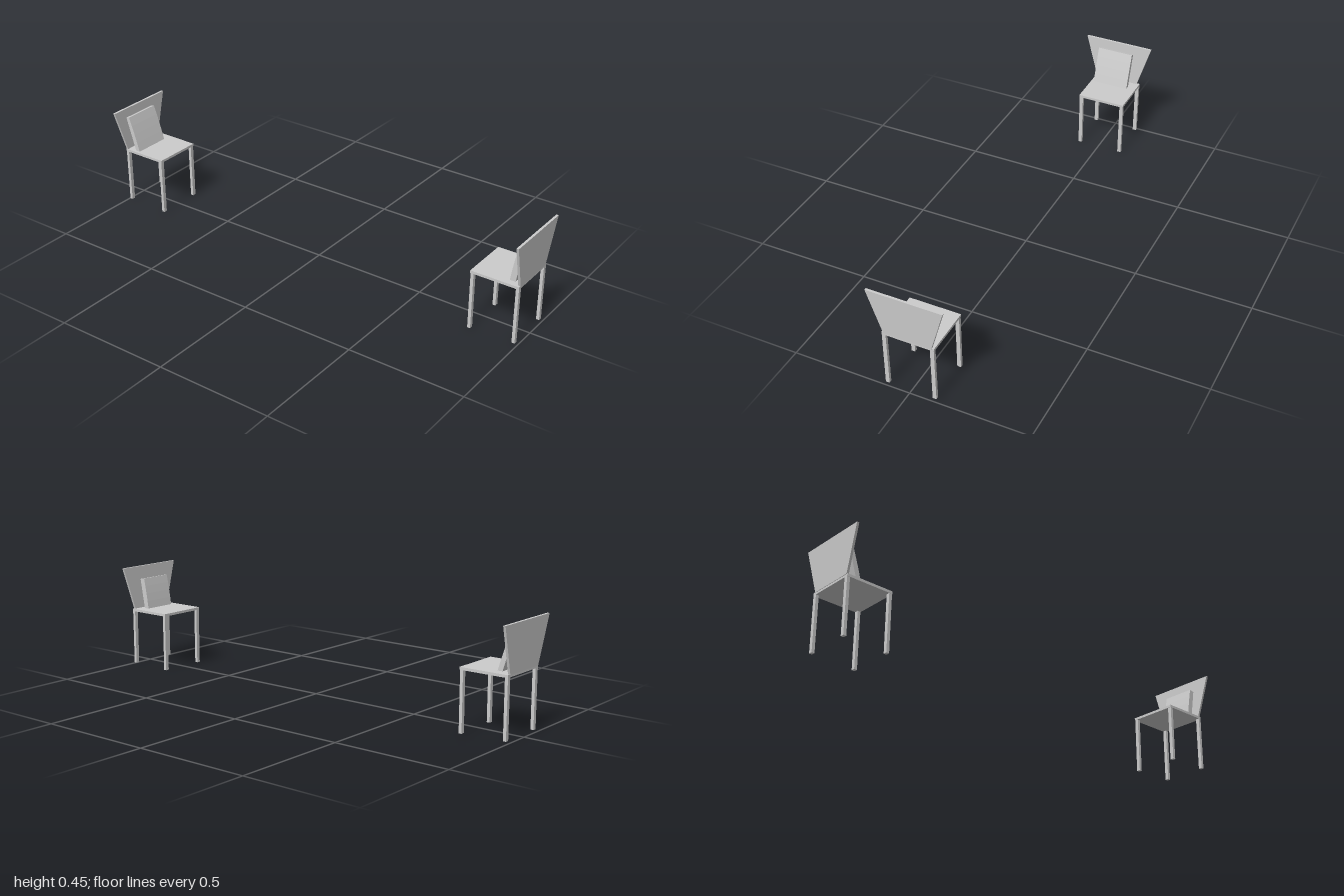
import * as THREE from 'three';

const mat = new THREE.MeshStandardMaterial({ color: 0xcccccc, flatShading: true });

function add(group, name, geometry) {
  const mesh = new THREE.Mesh(geometry, mat);
  mesh.name = name;
  group.add(mesh);
  return mesh;
}

// Box given by its lower and upper corners
function box(group, name, [x0, y0, z0], [x1, y1, z1]) {
  const mesh = add(group, name, new THREE.BoxGeometry(x1 - x0, y1 - y0, z1 - z0));
  mesh.position.set((x0 + x1) / 2, (y0 + y1) / 2, (z0 + z1) / 2);
}

// Each chair is built with its back towards +x, then turned if needed
function chair(name, o) {
  const g = new THREE.Group();
  g.name = name;
  const [z0, z1] = o.seatZ;

  box(g, 'seat', [0.782, 0.246, z0], [0.99, 0.257, z1]);

  // Legs: the rear pair stops slightly higher
  for (const [za, zb] of [[z0 + 0.001, z0 + 0.017], [z1 - 0.017, z1 - 0.001]]) {
    box(g, 'frontLeg', [0.784, 0, za], [0.797, 0.246, zb]);
    box(g, 'rearLeg', [0.977, 0.006, za], [0.99, 0.246, zb]);
  }

  // Flared backrest panel, leaning slightly outwards
  const panel = new THREE.Shape([
    new THREE.Vector2(-0.099, 0.255), new THREE.Vector2(0.099, 0.255),
    new THREE.Vector2(0.157, 0.447), new THREE.Vector2(-0.157, 0.447),
  ]);
  const back = new THREE.ExtrudeGeometry(panel, { depth: 0.01, bevelEnabled: false });
  back.rotateY(Math.PI / 2);
  const p = back.attributes.position;
  for (let i = 0; i < p.count; i++) {
    p.setX(i, p.getX(i) + 0.982 + 0.008 * (p.getY(i) - 0.255) / 0.192);
  }
  back.computeVertexNormals();
  add(g, 'backrest', back);

  // Cushion: leaning side profile extruded across the seat
  const { bottom: [b0, b1], top: [t0, t1], height, z: [c0, c1] } = o.cushion;
  const side = new THREE.Shape();
  side.moveTo(b0, 0.257);
  side.lineTo(b1, 0.257);
  side.lineTo(t1, height - 0.004);
  side.lineTo(t0, height);
  side.quadraticCurveTo((b0 + t0) / 2 - 0.003, (0.257 + height) / 2, b0, 0.257);
  const cushion = new THREE.ExtrudeGeometry(side, { depth: c1 - c0, bevelEnabled: false, curveSegments: 4 });
  cushion.translate(0, 0, c0);
  add(g, 'cushion', cushion);
  return g;
}

export function createModel() {
  const model = new THREE.Group();
  model.name = 'facingChairs';

  model.add(chair('leftChair', {
    seatZ: [-0.109, 0.108],
    cushion: { bottom: [0.936, 0.96], top: [0.96, 0.983], height: 0.393, z: [-0.063, 0.08] },
  }));

  const right = chair('rightChair', {
    seatZ: [-0.102, 0.113],
    cushion: { bottom: [0.922, 0.943], top: [0.972, 0.988], height: 0.41, z: [-0.09, 0.073] },
  });
  right.rotation.y = Math.PI;
  model.add(right);

  return model;
}
